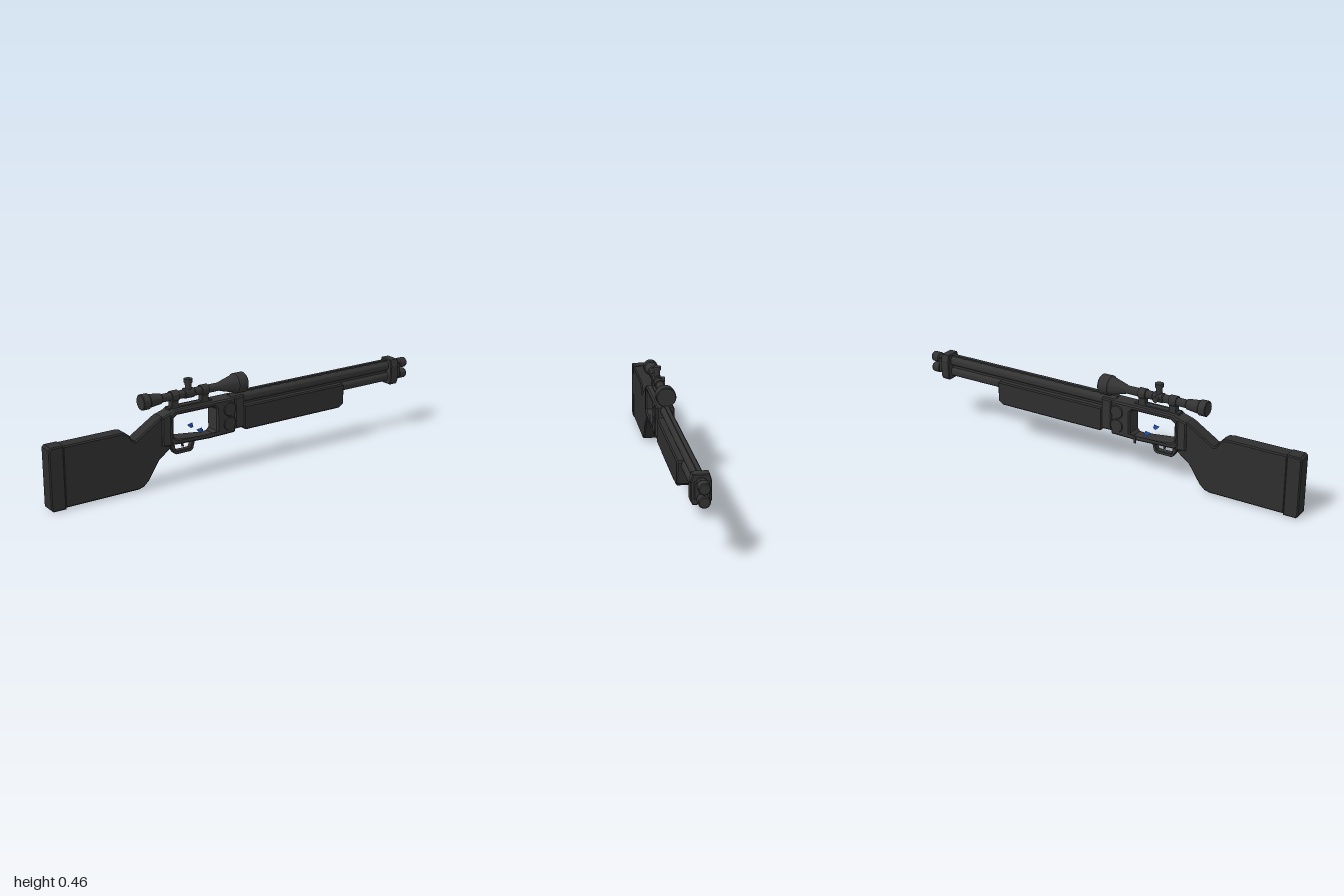
import * as THREE from 'three';
import { toCreasedNormals } from 'three/addons/utils/BufferGeometryUtils.js';

const mat = (name, hex) => {
  const m = new THREE.MeshStandardMaterial({ color: hex });
  m.name = name;
  return m;
};

export function createModel() {
  const stockMat = mat('dark polymer', 0x2e2e2e);
  const metalMat = mat('gunmetal', 0x333333);
  const blueMat = mat('blue accent', 0x2450b4);
  blueMat.side = THREE.DoubleSide;

  const model = new THREE.Group();
  model.name = 'toyRifle';

  const add = (name, geo, material, x = 0, y = 0, z = 0) => {
    const mesh = new THREE.Mesh(geo, material);
    mesh.name = name;
    mesh.position.set(x, y, z);
    model.add(mesh);
    return mesh;
  };

  // Side outline extruded symmetrically across z, with bevelled edges
  const toV2 = (pts) => pts.map(([x, y]) => new THREE.Vector2(x, y));
  const slab = (name, pts, half, material, bevel = 0.005, holes = []) => {
    const shape = new THREE.Shape(toV2(pts));
    holes.forEach((h) => shape.holes.push(new THREE.Path(toV2(h))));
    const depth = 2 * (half - bevel);
    const geo = new THREE.ExtrudeGeometry(shape, {
      depth, bevelEnabled: bevel > 0, bevelThickness: bevel,
      bevelSize: bevel, bevelOffset: -bevel, bevelSegments: 1,
    });
    geo.translate(0, 0, -depth / 2);
    return add(name, geo, material);
  };
  const rect = (x0, x1, y0, y1) => [[x0, y0], [x1, y0], [x1, y1], [x0, y1]];

  // Turned part along x from [x, radius] pairs
  const turned = (name, pts, y, material = metalMat) => {
    const profile = [[pts[0][0], 0], ...pts, [pts[pts.length - 1][0], 0]];
    const geo = new THREE.LatheGeometry(profile.map(([x, r]) => new THREE.Vector2(r, x)), 28);
    const mesh = add(name, toCreasedNormals(geo, 0.5), material, 0, y);
    mesh.rotation.z = -Math.PI / 2;
    return mesh;
  };

  // Stock and butt pad
  slab('stock', [
    [-0.935, 0.006], [-0.57, 0.006], [-0.545, 0.013], [-0.52, 0.035], [-0.465, 0.12], [-0.405, 0.165],
    [-0.4, 0.18], [-0.445, 0.19], [-0.445, 0.322], [-0.465, 0.312], [-0.585, 0.237], [-0.597, 0.243],
    [-0.612, 0.268], [-0.63, 0.282], [-0.655, 0.287], [-0.935, 0.287],
  ], 0.035, stockMat, 0.006);
  slab('buttPad', [
    [-0.99, 0], [-0.93, 0], [-0.93, 0.29], [-0.99, 0.29], [-1, 0.28], [-1, 0.01],
  ], 0.036, stockMat, 0.005);

  // Wrist block joining the stock to the receiver
  slab('wristBlock', [
    [-0.447, 0.18], [-0.39, 0.177], [-0.39, 0.335], [-0.41, 0.33], [-0.447, 0.318],
  ], 0.038, metalMat, 0.006);

  // Open-sided receiver
  slab('receiver', [
    [-0.41, 0.195], [-0.395, 0.18], [-0.2, 0.172], [-0.065, 0.175], [-0.06, 0.18], [-0.06, 0.342], [-0.385, 0.342], [-0.41, 0.325],
  ], 0.042, metalMat, 0.007, [[
    [-0.39, 0.217], [-0.372, 0.204], [-0.2, 0.184], [-0.172, 0.186], [-0.16, 0.2],
    [-0.16, 0.304], [-0.172, 0.318], [-0.372, 0.318], [-0.39, 0.305],
  ]]);
  slab('barrelCollar', rect(-0.062, -0.008, 0.19, 0.342), 0.041, metalMat, 0.006);

  // Round bosses and blue accents on both cheeks
  for (const s of [1, -1]) {
    for (const y of [0.293, 0.224]) {
      const boss = add('sideBoss', new THREE.CylinderGeometry(0.03, 0.034, 0.006, 28), metalMat, -0.092, y, s * 0.043);
      boss.rotation.x = s * Math.PI / 2;
    }
    const accent = new THREE.Shape(toV2([[-0.272, 0.229], [-0.25, 0.208], [-0.238, 0.216], [-0.244, 0.235]]));
    add('blueAccent', new THREE.ShapeGeometry(accent), blueMat, 0, 0, s * 0.04);
  }
  add('sidePin', new THREE.BoxGeometry(0.012, 0.03, 0.004), metalMat, -0.19, 0.176, -0.044);

  // Trigger guard and trigger
  slab('triggerGuard', [
    [-0.375, 0.13], [-0.365, 0.122], [-0.285, 0.122], [-0.274, 0.13], [-0.26, 0.182], [-0.39, 0.185], [-0.395, 0.165],
  ], 0.014, metalMat, 0.002, [[
    [-0.365, 0.138], [-0.288, 0.138], [-0.278, 0.168], [-0.372, 0.17],
  ]]);
  slab('trigger', [[-0.335, 0.172], [-0.325, 0.148], [-0.318, 0.148], [-0.32, 0.172]], 0.005, metalMat, 0.001);

  // Slotted fore-end
  slab('foreEnd', [
    [-0.012, 0.185], [0.0, 0.175], [0.555, 0.175], [0.58, 0.192], [0.58, 0.285], [0.572, 0.293], [-0.012, 0.293],
  ], 0.042, stockMat, 0.006, [rect(0.142, 0.496, 0.184, 0.25)]);

  // Stacked barrels with muzzle collars
  for (const [name, y] of [['upperBarrel', 0.325], ['lowerBarrel', 0.27]]) {
    turned(name, [
      [-0.07, 0.024], [0.935, 0.024], [0.94, 0.018], [0.955, 0.018], [0.96, 0.025], [0.995, 0.025], [1, 0.021],
    ], y);
  }
  add('barrelWeb', new THREE.BoxGeometry(0.93, 0.03, 0.02), metalMat, 0.42, 0.298);

  // Ventilated sighting rib
  add('topRib', new THREE.BoxGeometry(0.91, 0.006, 0.018), metalMat, 0.435, 0.354);
  for (let i = 0; i < 18; i++) {
    add('ribPost', new THREE.BoxGeometry(0.016, 0.009, 0.014), metalMat, 0.01 + i * 0.05, 0.348);
  }

  // Chamfered clamp holding the barrels together
  const clampShape = new THREE.Shape(toV2([
    [-0.034, 0.233], [0.034, 0.233], [0.043, 0.25], [0.043, 0.33], [0.034, 0.361], [-0.034, 0.361], [-0.043, 0.33], [-0.043, 0.25],
  ]));
  const clampGeo = new THREE.ExtrudeGeometry(clampShape, {
    depth: 0.04, bevelThickness: 0.004, bevelSize: 0.004, bevelOffset: -0.004, bevelSegments: 1,
  });
  add('muzzleClamp', clampGeo.rotateY(Math.PI / 2), metalMat, 0.882);
  add('clampBand', new THREE.BoxGeometry(0.065, 0.07, 0.06), metalMat, 0.915, 0.298);

  // Telescopic sight
  turned('scopeTube', [
    [-0.535, 0.033], [-0.532, 0.036], [-0.5, 0.036], [-0.495, 0.031], [-0.435, 0.024], [-0.43, 0.019],
    [-0.315, 0.019], [-0.31, 0.023], [-0.265, 0.023], [-0.26, 0.019],
    [-0.125, 0.019], [-0.115, 0.023], [-0.045, 0.042], [-0.04, 0.047], [0.008, 0.047], [0.012, 0.043],
  ], 0.396);
  for (const x of [-0.365, -0.207]) {
    turned('scopeRing', [[x - 0.018, 0.025], [x + 0.018, 0.025]], 0.396);
    add('scopeMount', new THREE.BoxGeometry(0.034, 0.05, 0.03), metalMat, x, 0.358);
  }
  add('scopeRail', new THREE.BoxGeometry(0.23, 0.01, 0.03), metalMat, -0.285, 0.343);

  // Adjustment turrets on the top and the far side
  const stem = new THREE.CylinderGeometry(0.015, 0.015, 0.04, 24);
  const cap = new THREE.CylinderGeometry(0.02, 0.02, 0.017, 24);
  add('topTurretStem', stem, metalMat, -0.288, 0.43);
  add('topTurretCap', cap, metalMat, -0.288, 0.4545);
  const side = add('sideTurret', new THREE.CylinderGeometry(0.014, 0.014, 0.03, 24), metalMat, -0.288, 0.396, -0.022);
  side.rotation.x = Math.PI / 2;

  return model;
}
